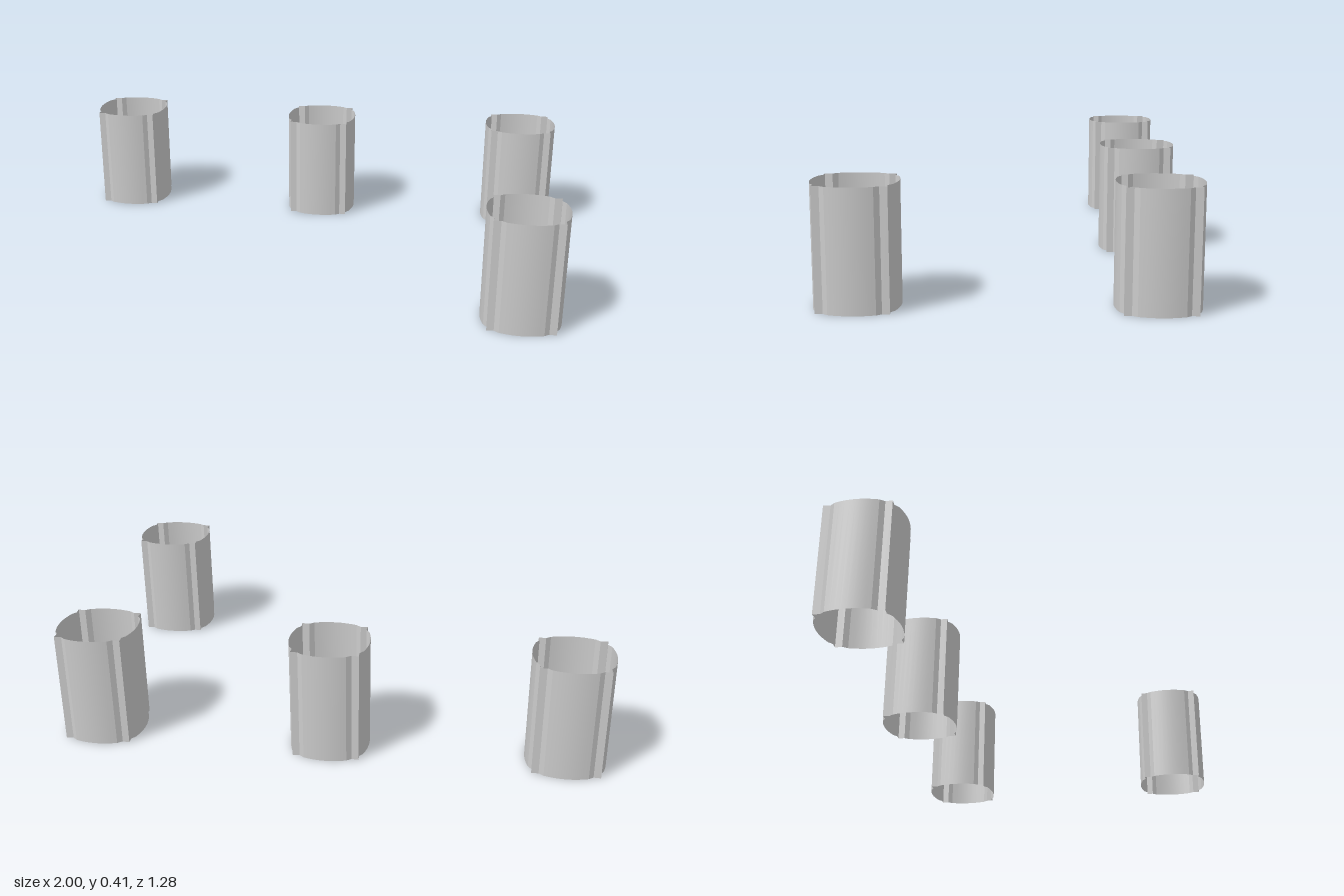
import * as THREE from 'three';
import { toCreasedNormals } from 'three/addons/utils/BufferGeometryUtils.js';

const HEIGHT = 0.415;

// Outline of one sleeve: four gently bowed sides joined by notched square corners.
function sleeveOutline() {
  const halfFace = 0.078, crown = 0.145, drop = 0.013, steps = 8;
  const side = [];
  for (let i = 0; i <= steps; i++) {
    const t = (i / steps) * 2 - 1;
    side.push([crown - drop * t * t, halfFace * t]);
  }
  side.push([0.119, 0.095], [0.121, 0.121], [0.095, 0.119]);

  const outline = [];
  for (let q = 0; q < 4; q++) {
    const c = Math.round(Math.cos(q * Math.PI / 2));
    const s = Math.round(Math.sin(q * Math.PI / 2));
    for (const [x, z] of side) outline.push([c * x - s * z, s * x + c * z]);
  }
  return outline;
}

// Thin upright wall following the outline, open at both ends.
function sleeveGeometry() {
  const outline = sleeveOutline();
  const positions = [];
  outline.forEach(([ax, az], i) => {
    const [bx, bz] = outline[(i + 1) % outline.length];
    positions.push(
      bx, 0, bz, ax, 0, az, ax, HEIGHT, az,
      bx, 0, bz, ax, HEIGHT, az, bx, HEIGHT, bz
    );
  });
  const geometry = new THREE.BufferGeometry();
  geometry.setAttribute('position', new THREE.Float32BufferAttribute(positions, 3));
  return toCreasedNormals(geometry, Math.PI / 10);
}

export function createModel() {
  const group = new THREE.Group();
  group.name = 'sleeves';
  const material = new THREE.MeshStandardMaterial({ color: 0xcccccc, side: THREE.DoubleSide });
  const geometry = sleeveGeometry();

  // Three sleeves along the back, one at the front left.
  const places = [
    ['backRightSleeve', -0.855, -0.493],
    ['backMiddleSleeve', 0, -0.493],
    ['backLeftSleeve', 0.855, -0.493],
    ['frontLeftSleeve', 0.855, 0.493],
  ];
  for (const [name, x, z] of places) {
    const sleeve = new THREE.Mesh(geometry, material);
    sleeve.name = name;
    sleeve.position.set(x, 0, z);
    group.add(sleeve);
  }
  return group;
}
